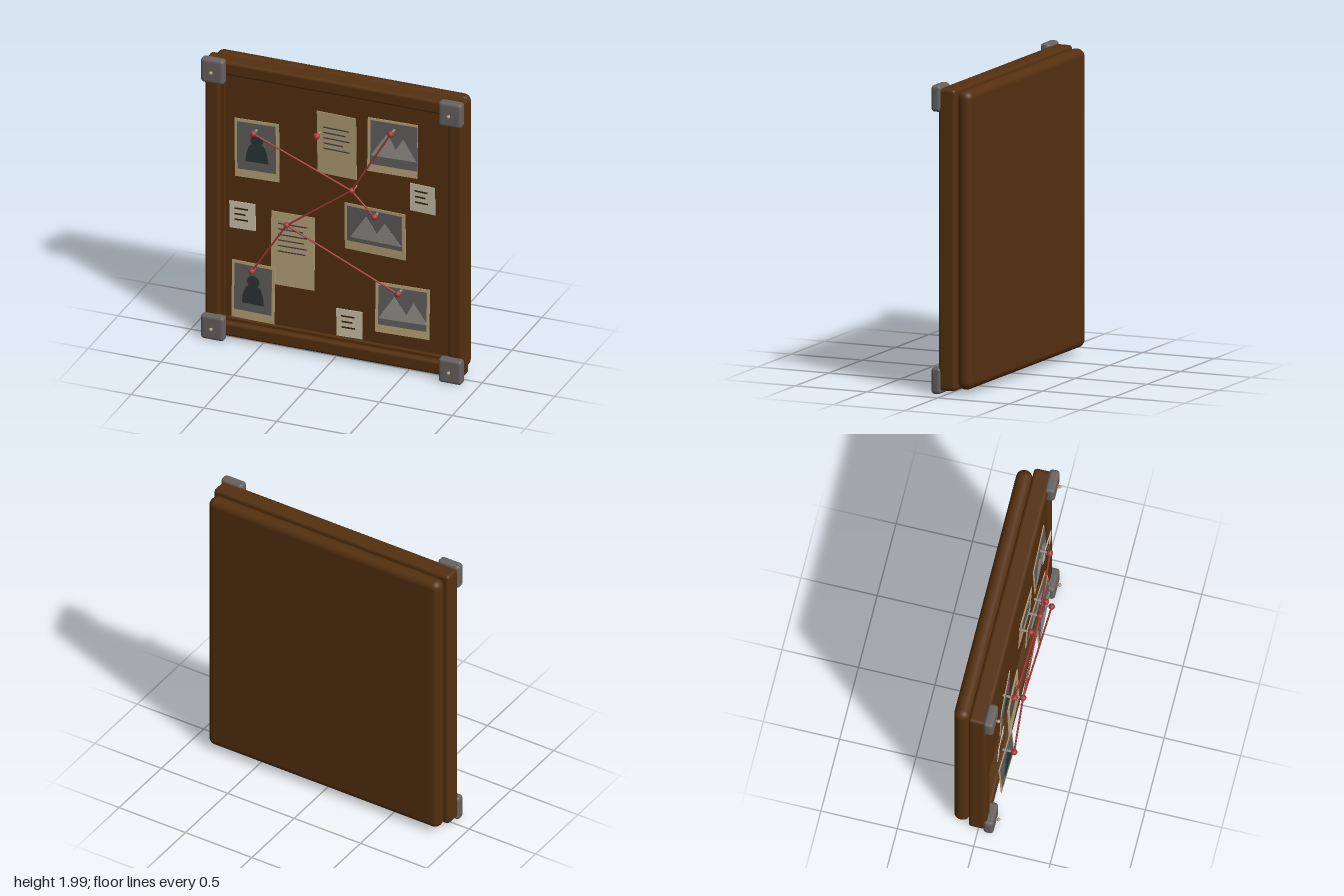
import * as THREE from 'three';
import { RoundedBoxGeometry } from 'three/addons/geometries/RoundedBoxGeometry.js';

const mat = (name, color) => {
  const m = new THREE.MeshStandardMaterial({ color });
  m.name = name;
  return m;
};

export function createModel() {
  const wood = mat('dark wood', 0x54300f);
  const metal = mat('iron', 0x666260);
  const paperMat = mat('aged paper', 0xb8a278);
  const noteMat = mat('pale note', 0xd2c6ae);
  const photoMat = mat('photo grey', 0x625f5d);
  const hillMat = mat('light grey', 0x918e88);
  const figureMat = mat('figure dark', 0x2b3535);
  const inkMat = mat('ink grey', 0x44444a);
  const darkInk = mat('ink brown', 0x3a2412);
  const red = mat('red', 0xa83a36);

  const root = new THREE.Group();
  root.name = 'pinboard';

  const add = (parent, name, geo, material, x = 0, y = 0, z = 0) => {
    const m = new THREE.Mesh(geo, material);
    m.name = name;
    m.position.set(x, y, z);
    parent.add(m);
    return m;
  };
  const box = (w, h, d) => new THREE.BoxGeometry(w, h, d);
  const rounded = (w, h, d, r) => new RoundedBoxGeometry(w, h, d, 4, r);
  const flat = (shape, d = 0.003) =>
    new THREE.ExtrudeGeometry(shape, { depth: d, bevelEnabled: false, curveSegments: 12 });

  // Backing slab and recessed panel
  add(root, 'backing', rounded(1.74, 1.93, 0.105, 0.05), wood, 0, 1.005, -0.1175);
  add(root, 'panel', box(1.6, 1.78, 0.06), wood, 0, 1.005, -0.04);

  // Frame rails with a lower inner lip
  const frame = new THREE.Group();
  frame.name = 'frame';
  root.add(frame);
  for (const s of [-1, 1]) {
    add(frame, 'sideRail', rounded(0.1, 1.95, 0.12, 0.022), wood, s * 0.835, 1.005, -0.005);
    add(frame, 'sideLip', box(0.03, 1.74, 0.08), wood, s * 0.78, 1.005, -0.02);
    add(frame, 'crossRail', rounded(1.77, 0.098, 0.12, 0.022), wood, 0, 1.005 + s * 0.926, -0.005);
    add(frame, 'crossLip', box(1.56, 0.03, 0.08), wood, 0, 1.005 + s * 0.873, -0.02);
  }

  // Corner brackets with a nail in each
  for (const x of [-0.816, 0.816]) {
    for (const y of [0.092, 1.915]) {
      add(root, 'cornerBracket', rounded(0.16, 0.172, 0.066, 0.022), metal, x, y, 0.067);
      const nail = add(root, 'nailShaft', new THREE.CylinderGeometry(0.006, 0.006, 0.03, 8), hillMat, x, y, 0.105);
      nail.rotation.x = Math.PI / 2;
      add(root, 'nailHead', new THREE.SphereGeometry(0.012, 10, 8), paperMat, x, y, 0.117);
    }
  }

  // A sheet given by its edges; contents use coordinates from its centre
  const sheet = (name, x0, x1, y0, y1, z, tiltX, tiltY, material) => {
    const g = new THREE.Group();
    g.name = name;
    g.position.set((x0 + x1) / 2, (y0 + y1) / 2, z);
    g.rotation.set(tiltX, tiltY, 0);
    root.add(g);
    add(g, 'sheet', box(x1 - x0, y1 - y0, 0.005), material);
    return g;
  };

  const writing = (g, lines, h, material) => {
    for (const [x0, x1, y] of lines) {
      add(g, 'writingLine', box(x1 - x0, h, 0.003), material,
        (x0 + x1) / 2 - g.position.x, y - g.position.y, 0.004);
    }
  };

  const picture = (g, x0, x1, y0, y1) => add(g, 'picture', box(x1 - x0, y1 - y0, 0.004), photoMat,
    (x0 + x1) / 2 - g.position.x, (y0 + y1) / 2 - g.position.y, 0.0045);

  // Portrait: head and bell-shaped shoulders
  const portrait = (g, x, base) => {
    const lx = x - g.position.x, ly = base - g.position.y;
    const body = new THREE.Shape();
    body.moveTo(-0.076, 0);
    body.lineTo(0.076, 0);
    body.quadraticCurveTo(0.07, 0.09, 0.045, 0.12);
    body.lineTo(0.022, 0.132);
    body.lineTo(-0.022, 0.132);
    body.lineTo(-0.045, 0.12);
    body.quadraticCurveTo(-0.07, 0.09, -0.076, 0);
    add(g, 'shoulders', flat(body), figureMat, lx, ly, 0.007);
    const head = add(g, 'head', new THREE.CylinderGeometry(0.042, 0.042, 0.003, 20), figureMat, lx, ly + 0.156, 0.0085);
    head.rotation.x = Math.PI / 2;
  };

  // Landscape: two triangular hills [left, right, peakX, peakY] on a base line
  const hills = (g, base, list) => list.forEach(([l, r, px, py], i) => {
    const s = new THREE.Shape();
    s.moveTo(l, base);
    s.lineTo(r, base);
    s.lineTo(px, py);
    s.closePath();
    add(g, 'hill', flat(s), hillMat, -g.position.x, -g.position.y, 0.0065 + 0.002 * (1 - i));
  });

  // Portrait photos
  const p1 = sheet('upperPortrait', -0.661, -0.362, 1.204, 1.62, 0.083, 0.02, 0.06, paperMat);
  picture(p1, -0.643, -0.384, 1.262, 1.6);
  portrait(p1, -0.51, 1.325);
  const p2 = sheet('lowerPortrait', -0.68, -0.381, 0.209, 0.606, 0.098, -0.04, -0.03, paperMat);
  picture(p2, -0.661, -0.402, 0.267, 0.587);
  portrait(p2, -0.529, 0.323);

  // Landscape photos
  const l1 = sheet('upperLandscape', 0.249, 0.587, 1.415, 1.79, 0.08, -0.03, 0.04, paperMat);
  picture(l1, 0.27, 0.585, 1.468, 1.775);
  hills(l1, 1.532, [[0.273, 0.475, 0.384, 1.7], [0.405, 0.582, 0.49, 1.675]]);
  const l2 = sheet('middleLandscape', 0.087, 0.513, 0.823, 1.153, 0.083, 0.03, -0.04, paperMat);
  picture(l2, 0.106, 0.489, 0.886, 1.135);
  hills(l2, 0.918, [[0.13, 0.352, 0.241, 1.087], [0.278, 0.487, 0.368, 1.06]]);
  const l3 = sheet('lowerLandscape', 0.307, 0.672, 0.288, 0.637, 0.088, -0.04, 0.05, paperMat);
  picture(l3, 0.328, 0.653, 0.344, 0.616);
  hills(l3, 0.39, [[0.331, 0.553, 0.436, 0.553], [0.495, 0.665, 0.564, 0.53]]);

  // Written pages
  const d1 = sheet('upperPage', -0.1, 0.172, 1.328, 1.77, 0.082, 0.03, -0.03, paperMat);
  writing(d1, [0.125, 0.1, 0.125, 0.08, 0.125].map((x1, i) => [-0.055, x1, 1.664 - i * 0.038]), 0.008, inkMat);
  const d2 = sheet('lowerPage', -0.415, -0.119, 0.484, 0.997, 0.078, -0.02, 0.03, paperMat);
  writing(d2, [-0.17, -0.2, -0.172, -0.19, -0.172, -0.18].map((x1, i) => [-0.368, x1, 0.918 - i * 0.039]), 0.008, inkMat);

  // Small notes
  const note = (name, x0, x1, y0, y1, tilt) => {
    const g = sheet(name, x0, x1, y0, y1, 0.08, 0.03, tilt, noteMat);
    writing(g, [0.09, 0.075, 0.09].map((w, i) => [x0 + 0.035, x0 + 0.035 + w, y1 - 0.048 - i * 0.04]), 0.01, darkInk);
  };
  note('rightNote', 0.537, 0.712, 1.18, 1.376, -0.05);
  note('leftNote', -0.7, -0.524, 0.828, 1.021, 0.05);
  note('bottomNote', 0.034, 0.209, 0.198, 0.394, 0.04);

  // Pins
  const pinZ = 0.147;
  const pins = [[-0.511, 1.556], [-0.077, 1.622], [0.431, 1.733], [0.164, 1.28],
    [0.32, 1.124], [-0.283, 0.95], [-0.521, 0.577], [0.481, 0.606]]
    .map(([x, y]) => new THREE.Vector3(x, y, pinZ));
  for (const p of pins) {
    add(root, 'pinHead', new THREE.SphereGeometry(0.021, 16, 12), red, p.x, p.y, p.z);
    const shaft = add(root, 'pinShaft', new THREE.CylinderGeometry(0.009, 0.009, 0.075, 8), hillMat, p.x, p.y, 0.108);
    shaft.rotation.x = Math.PI / 2;
  }

  // Strings between pins
  for (const [a, b] of [[0, 3], [2, 3], [3, 4], [3, 5], [5, 6], [5, 7]]) {
    const path = new THREE.LineCurve3(pins[a], pins[b]);
    add(root, 'string', new THREE.TubeGeometry(path, 1, 0.006, 8), red);
  }
  return root;
}
